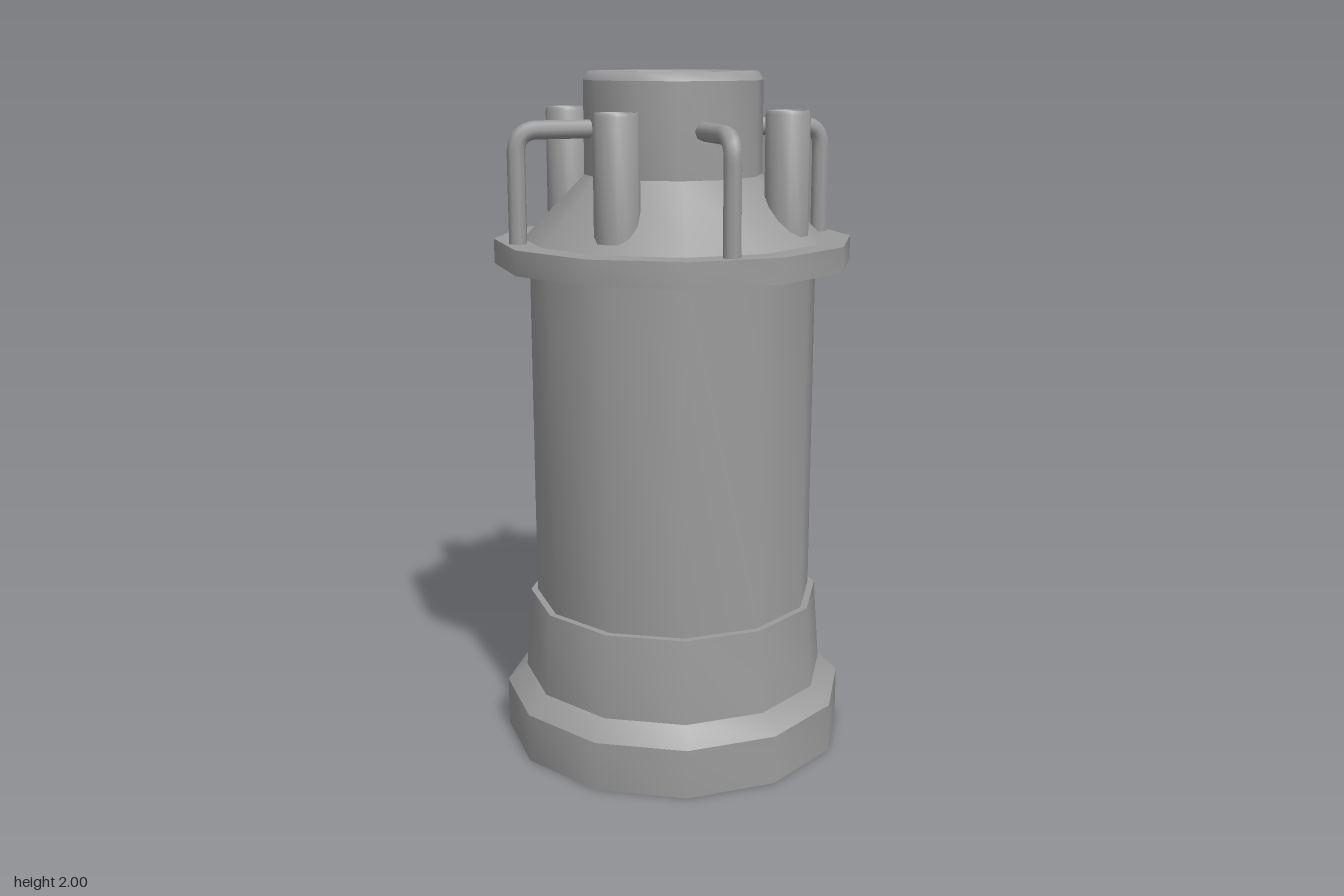
import * as THREE from 'three';
import { toCreasedNormals } from 'three/addons/utils/BufferGeometryUtils.js';

const material = new THREE.MeshStandardMaterial({ color: 0x9b9b9b, side: THREE.DoubleSide });

// Revolve [radius, height] points; facets stay smooth, sharp steps are creased
function lathe(name, points, sides = 12, crease = 0.62) {
  const profile = points.map(([r, y]) => new THREE.Vector2(r, y));
  const mesh = new THREE.Mesh(toCreasedNormals(new THREE.LatheGeometry(profile, sides), crease), material);
  mesh.name = name;
  return mesh;
}

export function createModel() {
  const model = new THREE.Group();
  model.name = 'canister';

  // Open-bottomed stepped foot and plain barrel
  model.add(lathe('base', [[0.518, 0], [0.518, 0.147], [0.458, 0.197], [0.44, 0.445], [0.42, 0.445]]));
  model.add(lathe('barrel', [[0.42, 0.445], [0.42, 1.456]]));

  // Wide flange with conical shoulder
  model.add(lathe('flange', [[0.42, 1.456], [0.522, 1.456], [0.522, 1.527], [0.438, 1.527]]));
  model.add(lathe('shoulder', [[0.438, 1.527], [0.258, 1.71]]));

  // Hollow neck with bevelled rim and a recessed floor
  model.add(lathe('neck', [[0.258, 1.71], [0.258, 1.975]]));
  model.add(lathe('neckRim', [[0.258, 1.975], [0.243, 2], [0.2, 2], [0.186, 1.975]], 12, 1.2));
  model.add(lathe('neckBore', [[0.186, 1.975], [0.186, 1.71], [0.136, 1.71]]));
  model.add(lathe('neckPlug', [[0.136, 1.71], [0.129, 1.74], [0, 1.74]]));

  for (let i = 0; i < 4; i++) {
    // Posts with shallow dished tops, standing on the shoulder
    const a = i * Math.PI / 2;
    const post = lathe('post', [
      [0.063, 1.53], [0.063, 1.885], [0.058, 1.895], [0.052, 1.895], [0.046, 1.885], [0, 1.885],
    ], 12, 0.95);
    post.position.set(Math.sin(a) * 0.351, 0, Math.cos(a) * 0.351);
    model.add(post);

    // Bent pipes from the neck down to the flange, between the posts
    const path = new THREE.CurvePath();
    const v = (x, y) => new THREE.Vector3(x, y, 0);
    path.add(new THREE.LineCurve3(v(0.225, 1.841), v(0.4, 1.841)));
    path.add(new THREE.QuadraticBezierCurve3(v(0.4, 1.841), v(0.464, 1.841), v(0.464, 1.777)));
    path.add(new THREE.LineCurve3(v(0.464, 1.777), v(0.464, 1.52)));
    const pipe = new THREE.Mesh(new THREE.TubeGeometry(path, 36, 0.026, 8), material);
    pipe.name = 'pipe';
    pipe.rotation.y = a + Math.PI / 4;
    model.add(pipe);
  }
  return model;
}
